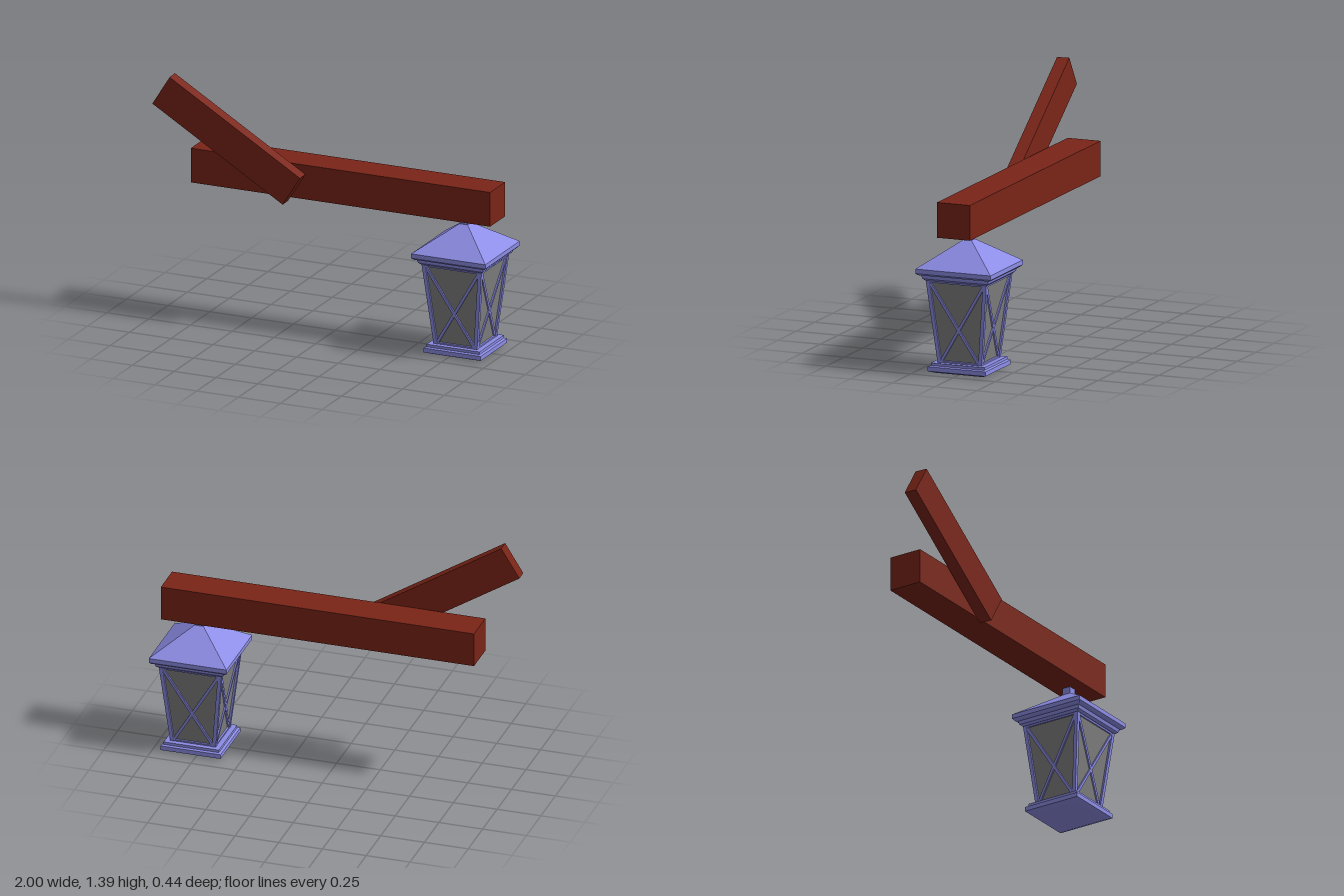
import * as THREE from 'three';

const wood = new THREE.MeshStandardMaterial({ color: 0x7a2417, flatShading: true });
const metal = new THREE.MeshStandardMaterial({ color: 0x8c8ce6, flatShading: true });
const glass = new THREE.MeshStandardMaterial({ color: 0x808080, flatShading: true });

function box(name, size, pos, material) {
  const mesh = new THREE.Mesh(new THREE.BoxGeometry(...size), material);
  mesh.position.set(...pos);
  mesh.name = name;
  return mesh;
}

// Square-plan solid from [half width, height] pairs, listed bottom to top
function squareLathe(name, profile, material) {
  const points = profile.map(([h, y]) => new THREE.Vector2(h * Math.SQRT2, y));
  const mesh = new THREE.Mesh(new THREE.LatheGeometry(points, 4, Math.PI / 4), material);
  mesh.name = name;
  return mesh;
}

// Straight bar between two points, its depth facing the given normal
function bar(name, from, to, width, depth, normal) {
  const a = new THREE.Vector3(...from), b = new THREE.Vector3(...to);
  const along = b.clone().sub(a);
  const length = along.length();
  along.normalize();
  const side = along.clone().cross(new THREE.Vector3(...normal)).normalize();
  const out = side.clone().cross(along);
  const mesh = new THREE.Mesh(new THREE.BoxGeometry(width, length, depth), metal);
  mesh.quaternion.setFromRotationMatrix(new THREE.Matrix4().makeBasis(side, along, out));
  mesh.position.copy(a.add(b).multiplyScalar(0.5));
  mesh.name = name;
  return mesh;
}

function createLantern() {
  const lantern = new THREE.Group();
  lantern.name = 'lantern';

  lantern.add(squareLathe('base', [
    [0, 0], [0.14, 0], [0.171, 0.012], [0.171, 0.037], [0.158, 0.042], [0.158, 0.057], [0, 0.057],
  ], metal));
  lantern.add(squareLathe('glassBody', [
    [0, 0.05], [0.118, 0.05], [0.168, 0.52], [0, 0.52],
  ], glass));
  lantern.add(squareLathe('roof', [
    [0, 0.517], [0.18, 0.517], [0.193, 0.528], [0.198, 0.547], [0.212, 0.55],
    [0.222, 0.56], [0.222, 0.585], [0.025, 0.725], [0, 0.725],
  ], metal));
  lantern.add(box('hanger', [0.048, 0.06, 0.048], [0, 0.745, 0], metal));

  // One corner post, crossed bars and two rails per side
  const normal = [0, -0.11, 1];
  for (let i = 0; i < 4; i++) {
    const side = new THREE.Group();
    side.name = 'frameSide';
    side.add(bar('cornerPost', [0.119, 0.05, 0.119], [0.169, 0.522, 0.169], 0.021, 0.021, normal));
    for (const s of [-1, 1]) {
      side.add(bar('crossBar', [-s * 0.113, 0.06, 0.121], [s * 0.163, 0.515, 0.169], 0.016, 0.014, normal));
    }
    side.add(bar('lowerRail', [-0.12, 0.06, 0.12], [0.12, 0.06, 0.12], 0.014, 0.018, normal));
    side.add(bar('upperRail', [-0.168, 0.515, 0.168], [0.168, 0.515, 0.168], 0.014, 0.018, normal));
    side.rotation.y = i * Math.PI / 2;
    lantern.add(side);
  }
  return lantern;
}

export function createModel() {
  const model = new THREE.Group();
  model.name = 'hangingLantern';

  // Horizontal beam with a slanted brace against its front
  model.add(box('beam', [1.79, 0.196, 0.195], [0.08, 0.862, 0.008], wood));
  const brace = box('brace', [0.905, 0.195, 0.072], [-0.565, 1.063, 0.154], wood);
  brace.rotation.set(0, 0.03, -0.558, 'ZYX');
  model.add(brace);

  const lantern = createLantern();
  lantern.position.x = 0.778;
  model.add(lantern);
  return model;
}
